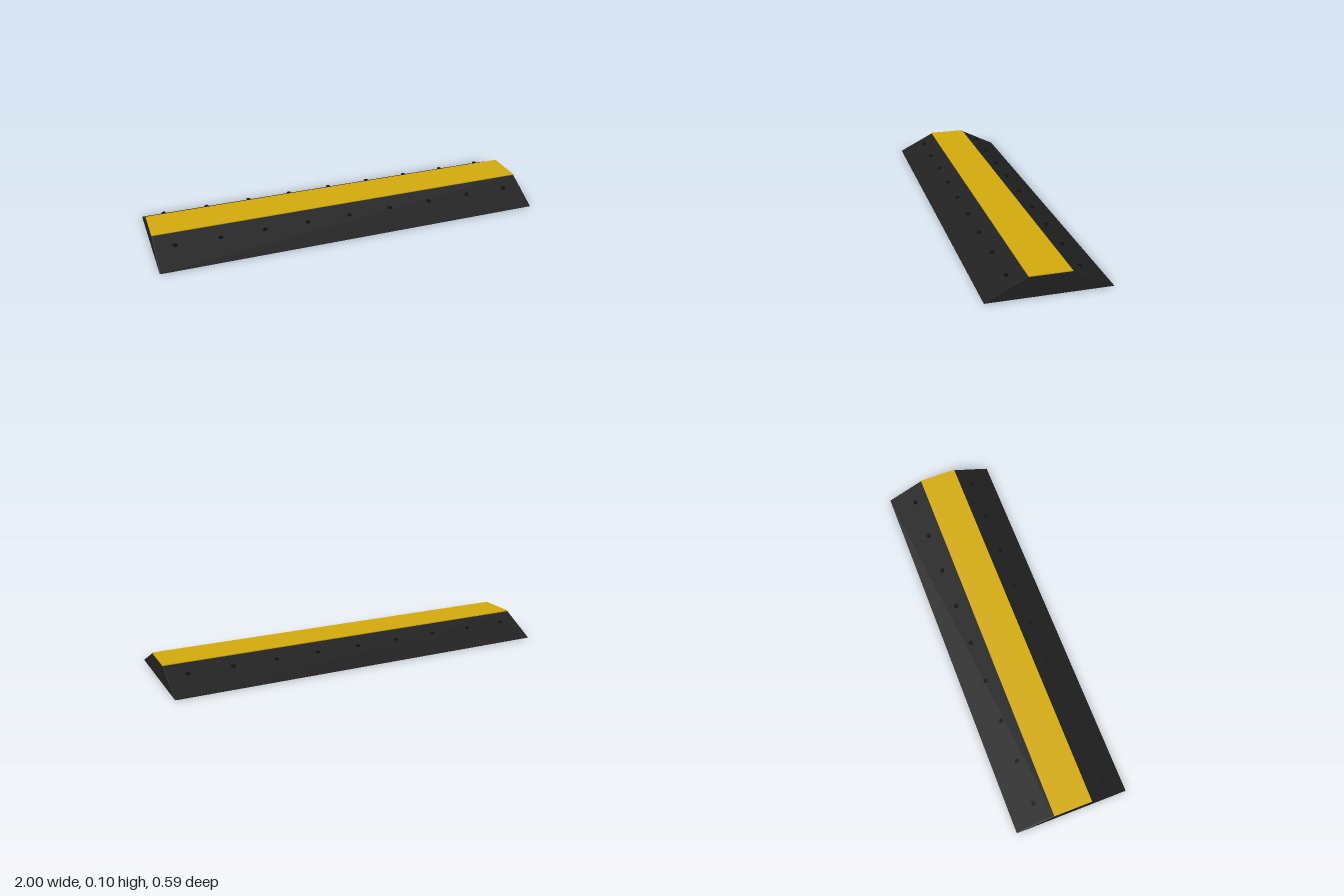
import * as THREE from 'three';

export function createModel() {
  const group = new THREE.Group();
  group.name = 'rampBarrier';
  const mat = (name, color) => {
    const m = new THREE.MeshStandardMaterial({ color });
    m.name = name;
    return m;
  };
  const rubber = mat('black rubber', 0x222222);
  const yellow = mat('safety yellow', 0xd4ac0d);
  const boltBlack = mat('bolt black', 0x111111);
  const add = (name, geometry, material, x, y, z) => {
    const mesh = new THREE.Mesh(geometry, material);
    mesh.name = name;
    mesh.position.set(x, y, z);
    group.add(mesh);
    return mesh;
  };

  // Trapezoid body, extruded along x with slightly bevelled ends
  const profile = new THREE.Shape([
    [-0.295, 0], [0.295, 0], [0.295, 0.002], [0.1, 0.1], [-0.1, 0.1], [-0.295, 0.002],
  ].map(([z, y]) => new THREE.Vector2(z, y)));
  const bevel = 0.004;
  const body = new THREE.ExtrudeGeometry(profile, {
    depth: 2 - 2 * bevel, bevelEnabled: true, bevelThickness: bevel,
    bevelSize: 0.0008, bevelOffset: -0.0008, bevelSegments: 1,
  });
  body.translate(0, 0, bevel - 1);
  body.rotateY(Math.PI / 2);
  add('rampBody', body, rubber, 0, 0, 0);

  // Yellow strip along the flat top
  add('topStrip', new THREE.BoxGeometry(2, 0.004, 0.2), yellow, 0, 0.102, 0);

  // Row of bolts along each slope
  const bolt = new THREE.CylinderGeometry(0.011, 0.011, 0.008, 16);
  for (const side of [-1, 1]) {
    for (let i = -4; i <= 4; i++) {
      add('bolt', bolt, boltBlack, i * 0.225, 0.069, side * 0.169);
    }
  }
  return group;
}
